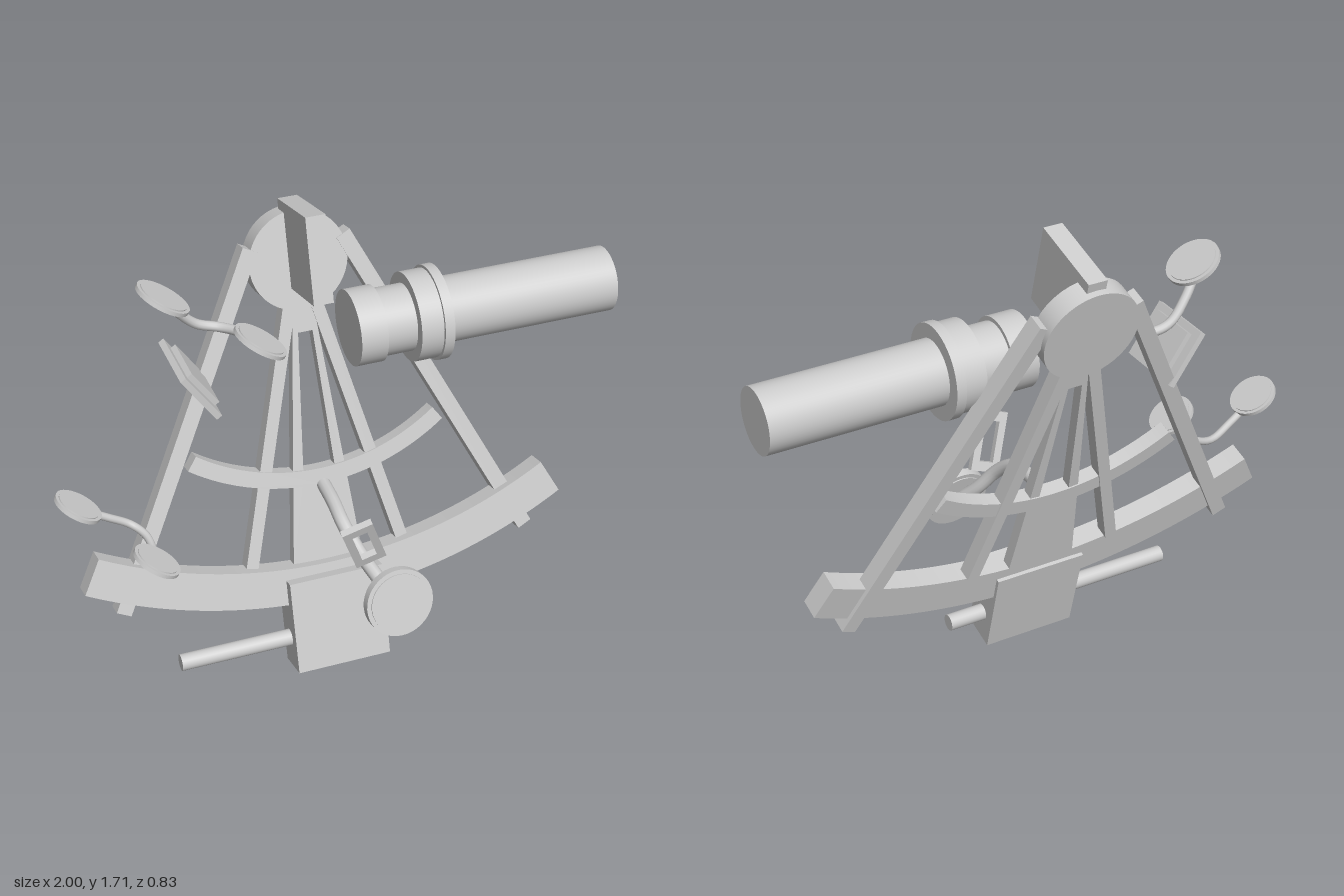
import * as THREE from 'three';

const metal = new THREE.MeshStandardMaterial({ color: 0xcccccc });
metal.name = 'light grey metal';

const V = (x, y, z) => new THREE.Vector3(x, y, z);

function add(parent, name, geometry, x = 0, y = 0, z = 0) {
  const mesh = new THREE.Mesh(geometry, metal);
  mesh.name = name;
  mesh.position.set(x, y, z);
  parent.add(mesh);
  return mesh;
}

// Flat shape extruded from depth z0 to z1
function plate(shape, z0, z1) {
  const g = new THREE.ExtrudeGeometry(shape, { depth: z1 - z0, bevelEnabled: false, curveSegments: 32 });
  return g.translate(0, 0, z0);
}

function polygon(points) {
  return new THREE.Shape(points.map(([x, y]) => new THREE.Vector2(x, y)));
}

// Ring segment hanging below its centre
function arcShape(cy, rIn, rOut, half) {
  const s = new THREE.Shape();
  s.absarc(0, cy, rOut, -Math.PI / 2 - half, -Math.PI / 2 + half, false);
  s.absarc(0, cy, rIn, -Math.PI / 2 + half, -Math.PI / 2 - half, true);
  s.closePath();
  return s;
}

// Square bar between two points of the frame plane
function bar(parent, name, x0, y0, x1, y1, width, z0, z1) {
  const len = Math.hypot(x1 - x0, y1 - y0);
  const m = add(parent, name, new THREE.BoxGeometry(width, len, z1 - z0), (x0 + x1) / 2, (y0 + y1) / 2, (z0 + z1) / 2);
  m.rotation.z = Math.atan2(x0 - x1, y1 - y0);
  return m;
}

function tube(parent, name, points, r) {
  const curve = new THREE.CatmullRomCurve3(points);
  return add(parent, name, new THREE.TubeGeometry(curve, 28, r, 12, false));
}

// Disc with a slightly raised face, turned to a given normal
function roundGlass(parent, name, center, normal, r, t) {
  const g = new THREE.Group();
  g.name = name;
  add(g, 'rim', new THREE.CylinderGeometry(r, r, t, 40));
  add(g, 'glass', new THREE.CylinderGeometry(r * 0.87, r * 0.87, t + 0.008, 40));
  g.position.copy(center);
  g.quaternion.setFromUnitVectors(V(0, 1, 0), normal.clone().normalize());
  parent.add(g);
}

export function createModel() {
  const model = new THREE.Group();
  model.name = 'sextant';

  // Frame, leaning back 15 degrees
  const frame = new THREE.Group();
  frame.name = 'frame';
  frame.position.x = -0.05;
  frame.rotation.x = -Math.PI / 12;
  model.add(frame);

  add(frame, 'limb', plate(arcShape(2.16, 1.783, 1.92, 0.479), 0.05, 0.13));
  add(frame, 'brace', plate(arcShape(1.48, 0.757, 0.815, 0.612), 0.045, 0.1));
  for (const s of [-1, 1]) {
    bar(frame, 'leg', s * 0.755, 0.34, s * 0.165, 1.545, 0.055, 0.035, 0.1);
    bar(frame, 'innerBar', s * 0.28, 0.4, s * 0.02, 1.44, 0.044, 0.04, 0.095);
  }

  const disc = add(frame, 'pivotDisc', new THREE.CylinderGeometry(0.175, 0.175, 0.082, 48), 0, 1.48, 0.056);
  disc.rotation.x = Math.PI / 2;
  add(frame, 'indexMirror', new THREE.BoxGeometry(0.07, 0.302, 0.295), 0, 1.537, 0.186);

  // Tapered index arm with a long slot
  const arm = polygon([[-0.13, 0.36], [0.13, 0.36], [0.03, 1.4], [-0.03, 1.4]]);
  arm.holes.push(new THREE.Path(polygon([[-0.06, 0.69], [-0.026, 1.225], [0.026, 1.225], [0.06, 0.69]]).getPoints()));
  add(frame, 'indexArm', plate(arm, 0.05, 0.092));

  // Clamp block and the rod through it
  add(frame, 'clampBlock', new THREE.BoxGeometry(0.345, 0.346, 0.136), 0, 0.17, 0.104);
  const rod = add(frame, 'screwRod', new THREE.CylinderGeometry(0.03, 0.03, 0.89, 24), -0.135, 0.112, 0.103);
  rod.rotation.z = Math.PI / 2;

  // Telescope: stepped cylinders along x
  const scope = new THREE.Group();
  scope.name = 'telescope';
  scope.position.set(0, 1.282, -0.087);
  model.add(scope);
  for (const [name, x0, x1, r] of [
    ['eyepiece', 0.055, 0.15, 0.132], ['neck', 0.15, 0.26, 0.117], ['collar', 0.26, 0.34, 0.155],
    ['collarRing', 0.34, 0.375, 0.165], ['tube', 0.375, 1, 0.114],
  ]) {
    const c = add(scope, name, new THREE.CylinderGeometry(r, r, x1 - x0, 48), (x0 + x1) / 2, 0, 0);
    c.rotation.z = Math.PI / 2;
  }

  // Horizon mirror on the leg
  const mirror = new THREE.Group();
  mirror.name = 'horizonMirror';
  mirror.position.set(-0.485, 1.175, -0.135);
  mirror.rotation.z = 0.6;
  add(mirror, 'backing', new THREE.BoxGeometry(0.022, 0.21, 0.26), -0.006);
  add(mirror, 'glass', new THREE.BoxGeometry(0.022, 0.16, 0.19), 0.014);
  model.add(mirror);

  // Two pairs of shade glasses on bent arms
  const tilt = V(0.52, 0.85, 0);
  const shades = [
    { a: V(-0.56, 1.48, -0.17), b: V(-0.27, 1.325, -0.045), r: 0.097, w: 0.017,
      path: [V(-0.56, 1.465, -0.19), V(-0.5, 1.385, -0.22), V(-0.43, 1.315, -0.236), V(-0.36, 1.295, -0.225),
        V(-0.31, 1.3, -0.17), V(-0.28, 1.315, -0.08)] },
    { a: V(-0.92, 0.802, -0.06), b: V(-0.713, 0.67, 0.15), r: 0.086, w: 0.014,
      path: [V(-0.92, 0.79, -0.06), V(-0.82, 0.725, -0.07), V(-0.74, 0.675, -0.068), V(-0.705, 0.658, -0.02),
        V(-0.7, 0.652, 0.05), V(-0.71, 0.66, 0.12)] },
  ];
  for (const { a, b, r, w, path } of shades) {
    roundGlass(model, 'shadeGlass', a, tilt, r, 0.014);
    roundGlass(model, 'shadeGlass', b, tilt, r, 0.014);
    tube(model, 'shadeArm', path, w);
  }

  // Reading magnifier on a curved arm
  tube(model, 'magnifierArm', [V(-0.05, 0.685, -0.05), V(-0.052, 0.68, 0.06), V(-0.053, 0.66, 0.15),
    V(-0.03, 0.6, 0.23), V(0.02, 0.51, 0.29), V(0.065, 0.44, 0.35)], 0.025);
  roundGlass(model, 'magnifier', V(0.07, 0.445, 0.368), V(0.04, 0.27, 0.96), 0.122, 0.032);

  // Small rectangular frame above the magnifier
  const win = polygon([[-0.055, -0.11], [0.055, -0.11], [0.055, 0.11], [-0.055, 0.11]]);
  win.holes.push(new THREE.Path(polygon([[-0.027, -0.075], [-0.027, 0.075], [0.027, 0.075], [0.027, -0.075]]).getPoints()));
  const holder = add(model, 'glassHolder', plate(win, -0.012, 0.012), -0.037, 0.68, 0.31);
  holder.rotation.set(0.3, 0, 0.35);

  return model;
}
